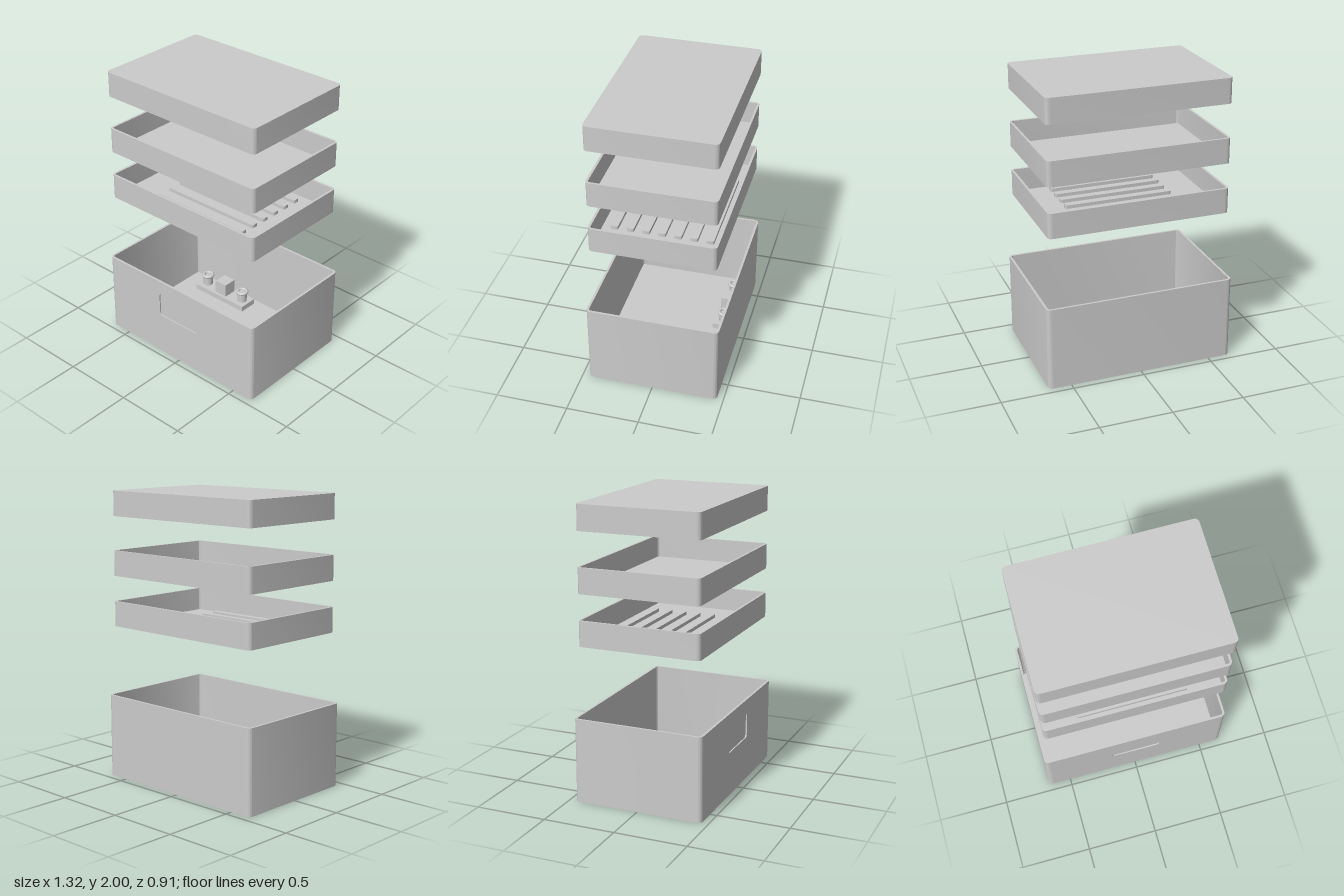
import * as THREE from 'three';
import { toCreasedNormals } from 'three/addons/utils/BufferGeometryUtils.js';

const material = new THREE.MeshStandardMaterial({ color: 0xcccccc });
const WALL = 0.016;

// Rounded rectangle outline, added to a Shape or Path
function roundedRect(path, w, h, r, cx = 0, cy = 0) {
  const x = w / 2, y = h / 2;
  path.absarc(cx + x - r, cy - y + r, r, -Math.PI / 2, 0);
  path.absarc(cx + x - r, cy + y - r, r, 0, Math.PI / 2);
  path.absarc(cx - x + r, cy + y - r, r, Math.PI / 2, Math.PI);
  path.absarc(cx - x + r, cy - y + r, r, Math.PI, Math.PI * 1.5);
  path.closePath();
  return path;
}

function extrude(shape, depth) {
  return toCreasedNormals(
    new THREE.ExtrudeGeometry(shape, { depth, bevelEnabled: false, curveSegments: 8 }), 0.6);
}

function addMesh(parent, name, geometry, x = 0, y = 0, z = 0) {
  const mesh = new THREE.Mesh(geometry, material);
  mesh.name = name;
  mesh.position.set(x, y, z);
  parent.add(mesh);
  return mesh;
}

// Upright extrusion of a plan outline, starting at y = 0
const upright = (shape, h) => extrude(shape, h).rotateX(-Math.PI / 2);

// Thin walls and one closed end, open at the other
function openBox(name, w, d, h, r, y, closedTop = false) {
  const group = new THREE.Group();
  group.name = name;
  group.position.y = y;
  const ring = roundedRect(new THREE.Shape(), w, d, r);
  ring.holes.push(roundedRect(new THREE.Path(), w - 2 * WALL, d - 2 * WALL, r - WALL));
  addMesh(group, name + 'Walls', upright(ring, h - WALL), 0, closedTop ? 0 : WALL);
  const plate = roundedRect(new THREE.Shape(), w, d, r);
  addMesh(group, name + 'Plate', upright(plate, WALL), 0, closedTop ? h - WALL : 0);
  return group;
}

// Outer case: walls notched at the front to take a plate with a shallow recess
function outerCase() {
  const group = new THREE.Group();
  group.name = 'outerCase';
  const w = 1.318, d = 0.908, h = 0.583, r = 0.032, recess = 0.009;
  const x = w / 2, z = d / 2, n = 0.6;

  const ring = new THREE.Shape();
  ring.moveTo(-n, -z);
  ring.lineTo(-n, -z + recess);
  ring.lineTo(n, -z + recess);
  ring.lineTo(n, -z);
  ring.absarc(x - r, -z + r, r, -Math.PI / 2, 0);
  ring.absarc(x - r, z - r, r, 0, Math.PI / 2);
  ring.absarc(-x + r, z - r, r, Math.PI / 2, Math.PI);
  ring.absarc(-x + r, -z + r, r, Math.PI, Math.PI * 1.5);
  ring.closePath();
  ring.holes.push(roundedRect(new THREE.Path(), w - 2 * WALL, d - 2 * WALL, r - WALL));
  addMesh(group, 'caseWalls', upright(ring, h));

  const floor = roundedRect(new THREE.Shape(), w - 2 * WALL, d - 2 * WALL, r - WALL);
  addMesh(group, 'caseFloor', upright(floor, WALL));

  const front = new THREE.Shape([
    new THREE.Vector2(-n, 0), new THREE.Vector2(n, 0),
    new THREE.Vector2(n, h), new THREE.Vector2(-n, h)]);
  front.holes.push(roundedRect(new THREE.Path(), 0.355, 0.182, 0.025, 0, 0.397));
  addMesh(group, 'frontPanel', extrude(front, recess), 0, 0, z - recess);
  return group;
}

// Small fittings on the case floor: a block between two ringed posts
function fittings() {
  const group = new THREE.Group();
  group.name = 'floorFittings';
  group.position.set(-0.27, WALL, -0.33);
  addMesh(group, 'fittingBase', new THREE.BoxGeometry(0.46, 0.04, 0.14), 0, 0.02, 0);
  addMesh(group, 'centreBlock', new THREE.BoxGeometry(0.1, 0.1, 0.1), 0, 0.09, 0);
  for (const side of [-1, 1]) {
    addMesh(group, 'post', new THREE.CylinderGeometry(0.035, 0.035, 0.075, 24), side * 0.17, 0.075, 0);
    const ring = new THREE.TorusGeometry(0.035, 0.012, 10, 28).rotateX(Math.PI / 2);
    addMesh(group, 'postRing', ring, side * 0.17, 0.115, 0);
  }
  return group;
}

export function createModel() {
  const model = new THREE.Group();
  model.name = 'stackedStorageBox';

  model.add(outerCase(), fittings());

  const lowerTray = openBox('lowerTray', 1.255, 0.852, 0.174, 0.03, 1.07);
  // Raised ribs across the lower tray floor
  const rib = upright(roundedRect(new THREE.Shape(), 0.76, 0.05, 0.012), 0.024);
  for (let i = -3; i <= 3; i++) addMesh(lowerTray, 'rib', rib, 0, WALL, i * 0.108);

  model.add(
    lowerTray,
    openBox('upperTray', 1.255, 0.852, 0.174, 0.03, 1.42),
    openBox('lid', 1.255, 0.852, 0.172, 0.03, 1.828, true));
  return model;
}
